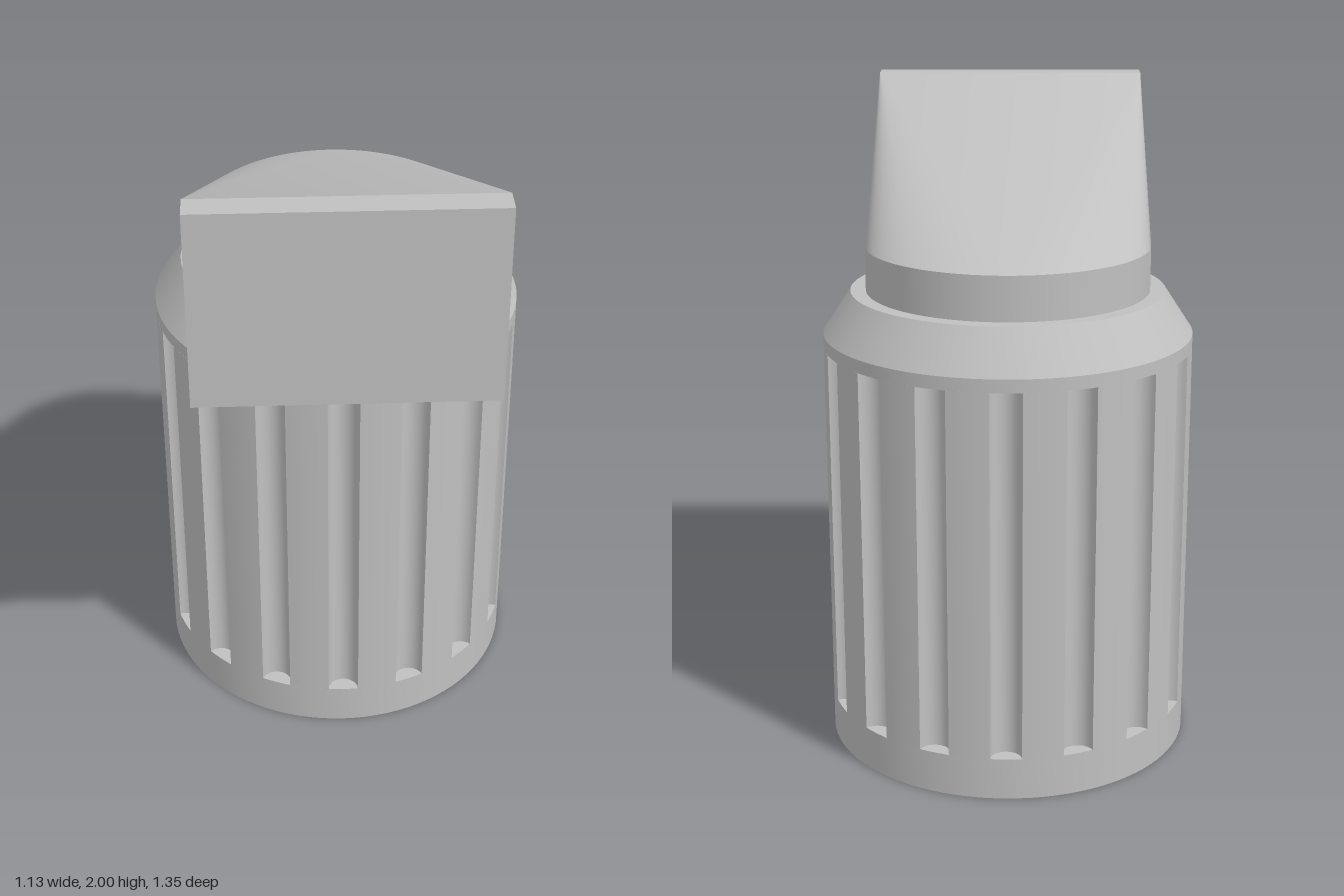
import * as THREE from 'three';
import { toCreasedNormals } from 'three/addons/utils/BufferGeometryUtils.js';
import { ConvexGeometry } from 'three/addons/geometries/ConvexGeometry.js';

const R = 0.565;        // body radius
const AXIS_Z = -0.11;   // body axis
const GROOVES = 16;
const GROOVE_LOW = 0.13, GROOVE_HIGH = 1.265;

// Outline of the grooved section: half-round flutes joined by arcs
function flutedShape() {
  const pts = [];
  const step = (Math.PI * 2) / GROOVES;
  const half = Math.asin(0.0475 / R);
  const c = R * Math.cos(half), r = R * Math.sin(half);
  for (let i = 0; i < GROOVES; i++) {
    const a = i * step;
    for (let j = 0; j <= 12; j++) {
      const t = a - Math.PI / 2 - (Math.PI * j) / 12;
      pts.push(new THREE.Vector2(c * Math.cos(a) + r * Math.cos(t), c * Math.sin(a) + r * Math.sin(t)));
    }
    for (let j = 1; j < 6; j++) {
      const t = a + half + ((step - 2 * half) * j) / 6;
      pts.push(new THREE.Vector2(R * Math.cos(t), R * Math.sin(t)));
    }
  }
  return new THREE.Shape(pts);
}

function lathe(profile) {
  const pts = profile.map(([x, y]) => new THREE.Vector2(x, y));
  return toCreasedNormals(new THREE.LatheGeometry(pts, 96), 0.4);
}

// Hull of a round disc at the back and a tall block at the front
function spoutGeometry() {
  const pts = [];
  const w = 0.433, low = 1.4;
  for (let i = 0; i <= 64; i++) {
    const a = (Math.PI * i) / 64;
    const x = w * Math.cos(a), z = AXIS_Z - w * Math.sin(a);
    pts.push(new THREE.Vector3(x, low, z), new THREE.Vector3(x, 1.57, z));
  }
  for (const x of [-w, w]) {
    pts.push(
      new THREE.Vector3(x, low, 0.675),
      new THREE.Vector3(x, 2, 0.675),
      new THREE.Vector3(x, 2, 0.59)
    );
  }
  return toCreasedNormals(new ConvexGeometry(pts), 0.3);
}

export function createModel() {
  const model = new THREE.Group();
  const grey = new THREE.MeshStandardMaterial({ color: 0xc0c0c0 });
  grey.name = 'light grey';

  const add = (name, geometry, y = 0, z = 0) => {
    const mesh = new THREE.Mesh(geometry, grey);
    mesh.name = name;
    mesh.position.set(0, y, z);
    model.add(mesh);
  };

  // Plain band below the grooves
  add('baseBand', lathe([[0, 0], [R, 0], [R, GROOVE_LOW], [0.45, GROOVE_LOW]]), 0, AXIS_Z);

  // Fluted grip
  const grip = new THREE.ExtrudeGeometry(flutedShape(), {
    depth: GROOVE_HIGH - GROOVE_LOW, bevelEnabled: false,
  });
  grip.rotateX(-Math.PI / 2);
  add('flutedGrip', toCreasedNormals(grip, 0.5), GROOVE_LOW, AXIS_Z);

  // Chamfered shoulder above the grooves
  add('shoulder', lathe([[0.45, GROOVE_HIGH], [R, GROOVE_HIGH], [R, 1.305], [0.48, 1.435], [0, 1.435]]), 0, AXIS_Z);

  // Sloping spout
  add('spout', spoutGeometry());

  return model;
}
